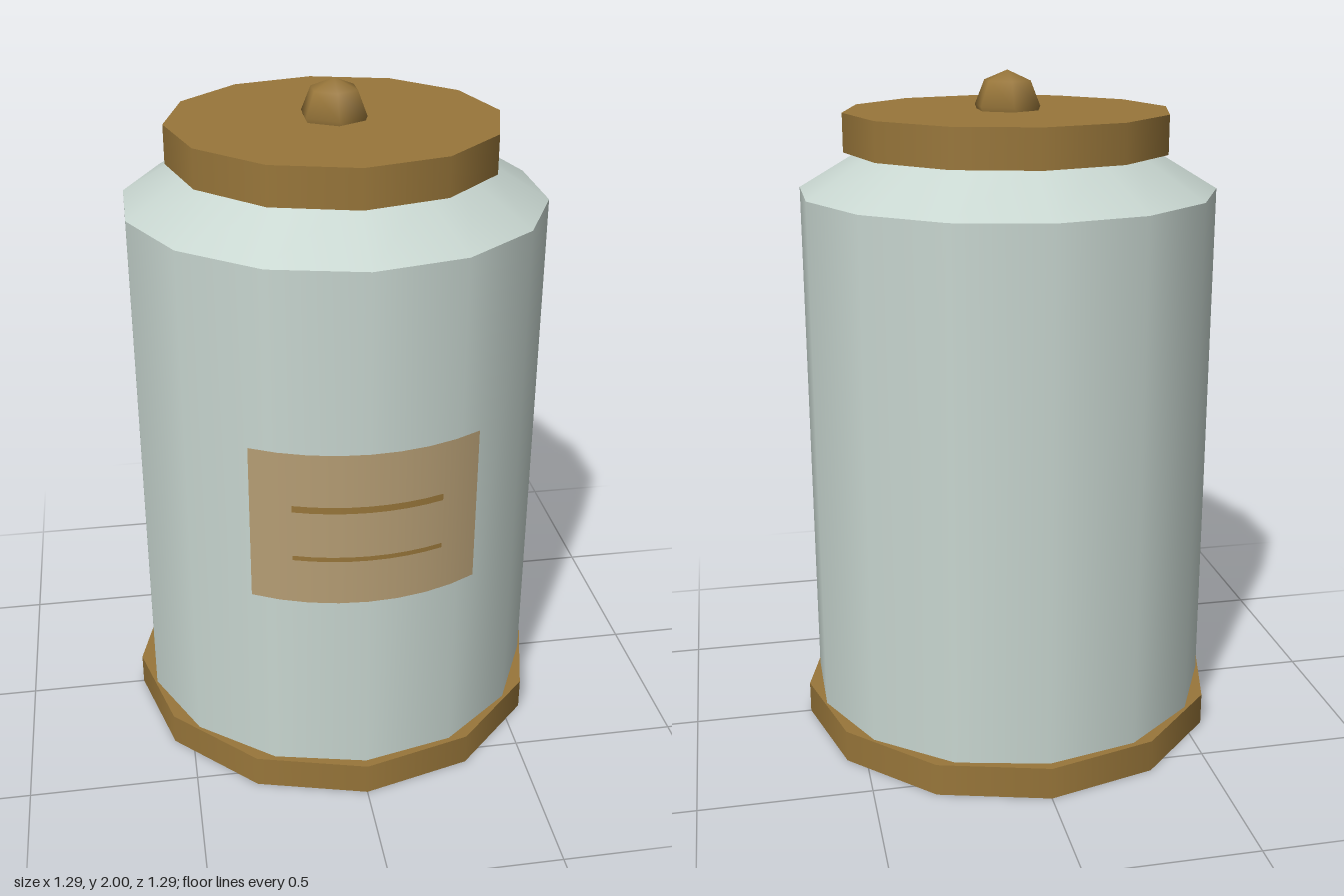
import * as THREE from 'three';

export function createModel() {
  const model = new THREE.Group();
  model.name = 'canister';

  const material = (name, color, side = THREE.FrontSide) => {
    const m = new THREE.MeshStandardMaterial({ color, side });
    m.name = name;
    return m;
  };
  const brass = material('brass', 0x98763a);
  const enamel = material('pale enamel', 0xc8d6d0);
  const paper = material('label tan', 0xb59d74, THREE.DoubleSide);

  const add = (name, geometry, mat, y) => {
    const mesh = new THREE.Mesh(geometry, mat);
    mesh.name = name;
    mesh.position.y = y;
    model.add(mesh);
    return mesh;
  };

  // Round part between two heights
  const drum = (name, rTop, rBottom, y0, y1, sides, mat) =>
    add(name, new THREE.CylinderGeometry(rTop, rBottom, y1 - y0, sides), mat, (y0 + y1) / 2);

  drum('base', 0.643, 0.643, 0, 0.097, 12, brass);
  drum('body', 0.615, 0.615, 0.09, 1.66, 14, enamel);
  drum('shoulder', 0.415, 0.615, 1.66, 1.78, 14, enamel);
  drum('lid', 0.48, 0.48, 1.775, 1.887, 12, brass);

  // Knob with a corner facing the front
  add('knob', new THREE.SphereGeometry(0.1, 6, 4), brass, 1.9).rotation.y = Math.PI / 2;

  // Thin curved plates wrapped round the front
  const wrap = (name, radius, halfWidth, height, y, mat) => {
    const a = Math.asin(halfWidth / radius);
    add(name, new THREE.CylinderGeometry(radius, radius, height, 8, 1, true, -a, 2 * a), mat, y);
  };
  wrap('label', 0.623, 0.32, 0.47, 0.91, paper);
  const ink = material('label line brass', 0x98763a, THREE.DoubleSide);
  [['upperLabelLine', 0.978, 0.02], ['lowerLabelLine', 0.822, 0.014]].forEach(([name, y, height]) =>
    wrap(name, 0.628, 0.21, height, y, ink));

  return model;
}
